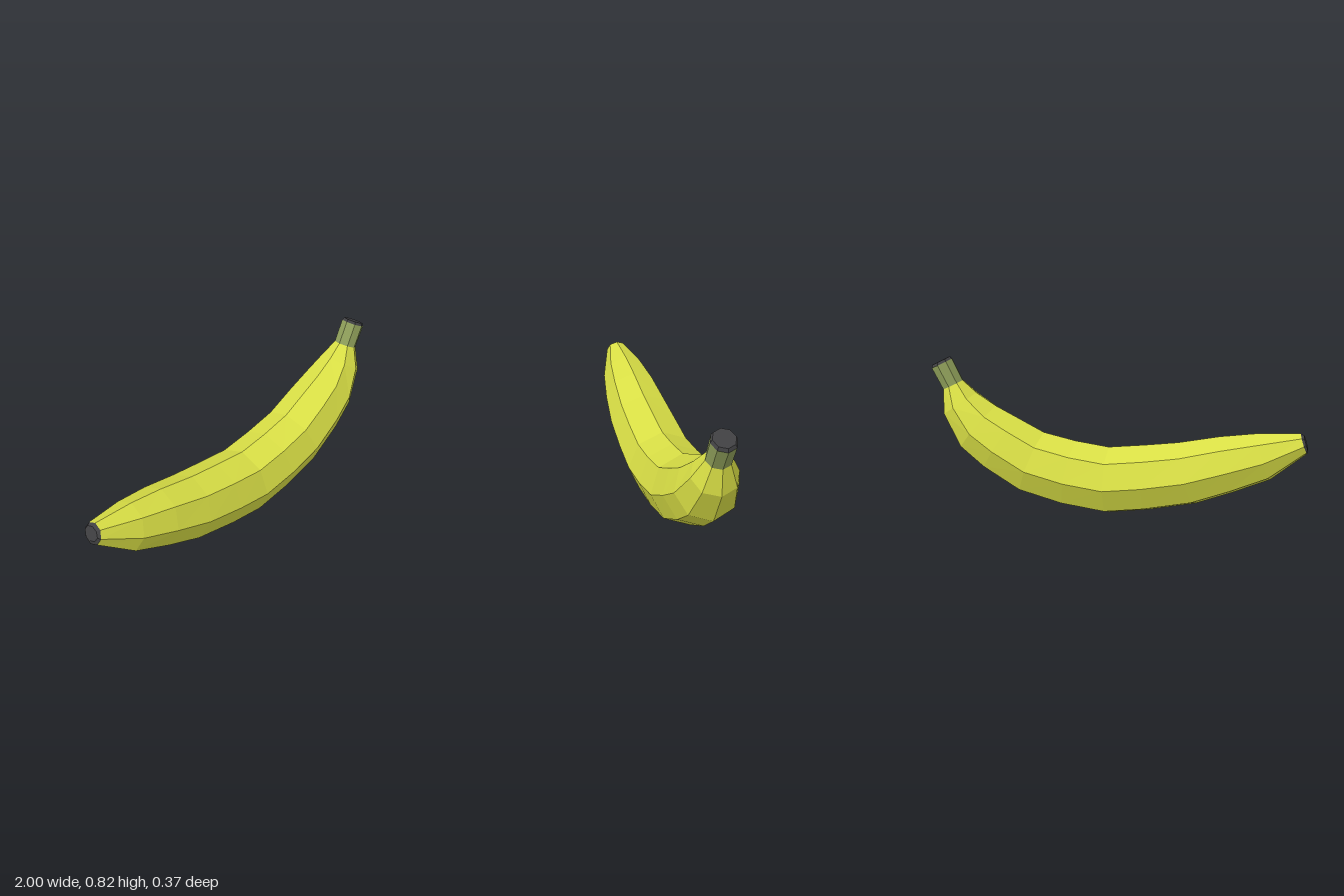
import * as THREE from 'three';

const SIDES = 8;

// Each station: [upper x, upper y, lower x, lower y, half width in z]
const tipRing = [-0.958, 0.506, -0.997, 0.402, 0.058];
const neckRing = [0.83, 0.697, 0.94, 0.645, 0.063];
const stemRing = [0.884, 0.812, 0.999, 0.757, 0.063];

const bodyStations = [
  tipRing,
  [-0.74, 0.493, -0.82, 0.25, 0.125],
  [-0.55, 0.465, -0.63, 0.165, 0.157],
  [-0.34, 0.42, -0.44, 0.09, 0.177],
  [-0.16, 0.395, -0.18, 0.033, 0.184],
  [0.03, 0.372, 0.03, 0.003, 0.186],
  [0.21, 0.395, 0.27, 0.033, 0.186],
  [0.385, 0.432, 0.51, 0.095, 0.182],
  [0.53, 0.505, 0.715, 0.217, 0.173],
  [0.65, 0.565, 0.845, 0.325, 0.157],
  [0.755, 0.632, 0.94, 0.51, 0.115],
  neckRing,
];

// Octagonal ring with a corner at the top and bottom of the section
function ringPoint([ux, uy, lx, ly, w], j) {
  const a = (j / SIDES) * Math.PI * 2;
  const c = Math.cos(a) / 2;
  return [(ux + lx) / 2 + (ux - lx) * c, (uy + ly) / 2 + (uy - ly) * c, w * Math.sin(a)];
}

// Faceted skin through the stations, optionally closed at either end
function loft(name, stations, color, capStart, capEnd) {
  const pos = [];
  const tri = (...pts) => pts.forEach((p) => pos.push(...p));
  const centre = (s) => [(s[0] + s[2]) / 2, (s[1] + s[3]) / 2, 0];
  const last = stations[stations.length - 1];
  for (let j = 0; j < SIDES; j++) {
    for (let i = 0; i < stations.length - 1; i++) {
      const a = ringPoint(stations[i], j);
      const b = ringPoint(stations[i], j + 1);
      const c = ringPoint(stations[i + 1], j);
      const d = ringPoint(stations[i + 1], j + 1);
      tri(a, b, c);
      tri(b, d, c);
    }
    if (capStart) tri(centre(stations[0]), ringPoint(stations[0], j + 1), ringPoint(stations[0], j));
    if (capEnd) tri(centre(last), ringPoint(last, j), ringPoint(last, j + 1));
  }
  const geo = new THREE.BufferGeometry();
  geo.setAttribute('position', new THREE.Float32BufferAttribute(pos, 3));
  geo.computeVertexNormals();
  const mesh = new THREE.Mesh(geo, new THREE.MeshStandardMaterial({ color, flatShading: true }));
  mesh.name = name;
  return mesh;
}

export function createModel() {
  const group = new THREE.Group();
  group.name = 'banana';

  // Curved fruit, tapering to the blossom end and the neck
  group.add(loft('peel', bodyStations, 0xd8de45, false, false));

  // Straight stem
  group.add(loft('stem', [neckRing, stemRing], 0x8f9f5a, false, false));

  // Dark bevelled ends
  group.add(loft('stemCap', [stemRing, [0.896, 0.823, 0.994, 0.775, 0.054]], 0x404042, false, true));
  group.add(loft('blossomEnd', [[-0.976, 0.496, -1.0, 0.425, 0.045], tipRing], 0x404042, true, false));

  return group;
}
